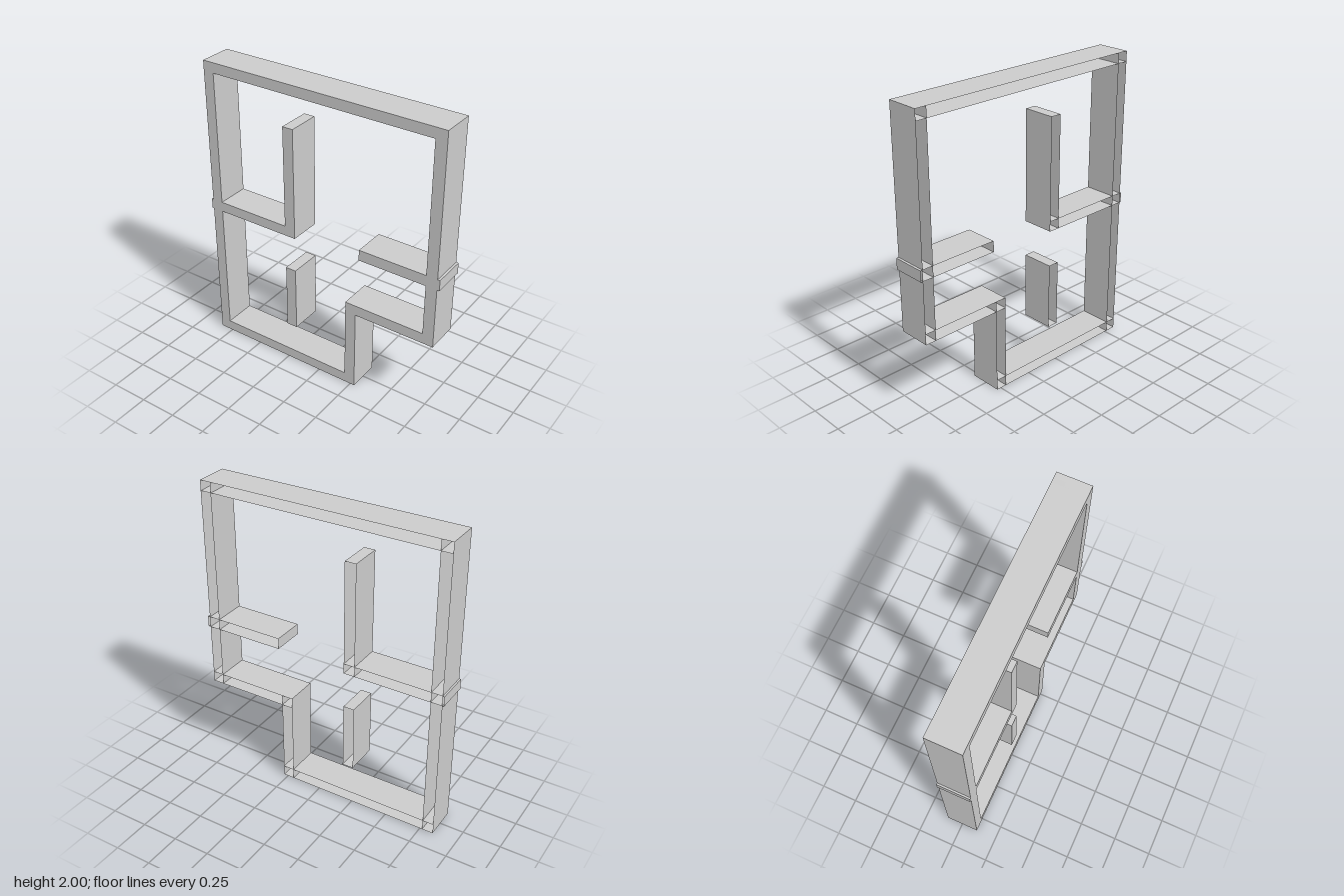
import * as THREE from 'three';

const DEPTH = 0.22;

// name, x from, x to, y from, y to
const WALLS = [
  ['leftWall', -0.84, -0.767, 0, 2],
  ['topWall', -0.84, 0.832, 1.932, 2],
  ['rightWall', 0.758, 0.832, 0.572, 2],
  ['stepWall', 0.205, 0.832, 0.572, 0.643],
  ['stepRiser', 0.205, 0.28, 0, 0.643],
  ['bottomWall', -0.84, 0.28, 0, 0.07],
  ['leftPartition', -0.852, -0.18, 0.968, 1.036],
  ['upperPost', -0.254, -0.18, 0.968, 1.722],
  ['lowerPost', -0.254, -0.18, 0.275, 0.725],
  ['rightPartition', 0.297, 0.848, 0.99, 1.063],
];

// A wall block whose back (-z) side is left open
function openBox(width, height, depth) {
  const geometry = new THREE.BoxGeometry(width, height, depth);
  geometry.setIndex(Array.from(geometry.index.array).slice(0, 30));
  geometry.clearGroups();
  return geometry;
}

export function createModel() {
  const group = new THREE.Group();
  group.name = 'floorPlanWalls';
  const material = new THREE.MeshStandardMaterial({ color: 0xcccccc, side: THREE.DoubleSide });

  for (const [name, x0, x1, y0, y1] of WALLS) {
    const wall = new THREE.Mesh(openBox(x1 - x0, y1 - y0, DEPTH), material);
    wall.name = name;
    wall.position.set((x0 + x1) / 2, (y0 + y1) / 2, 0);
    group.add(wall);
  }
  return group;
}
